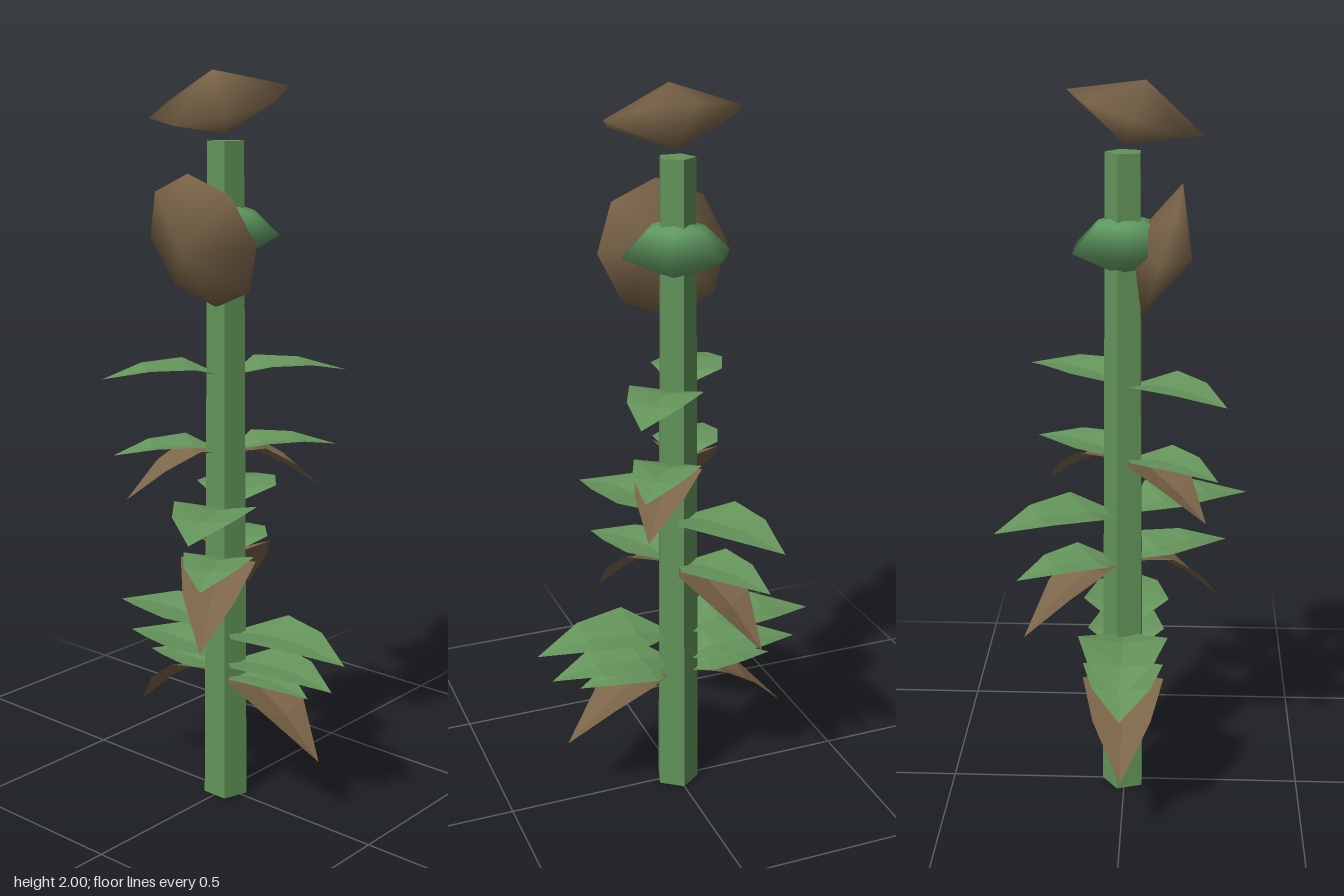
import * as THREE from 'three';

const mat = (name, color, side = THREE.FrontSide, flatShading = false) => {
  const m = new THREE.MeshStandardMaterial({ color, side, flatShading });
  m.name = name;
  return m;
};

// Folded leaf along +x: rows of [reach, height, half width, midrib dip], ending in a point
function leafGeometry(rows) {
  const pos = [], index = [];
  for (const [r, y, w, dip] of rows) pos.push(r, y, -w, r, y - dip, 0, r, y, w);
  for (let i = 0; i < rows.length - 1; i++) {
    for (let s = 0; s < 2; s++) {
      const a = i * 3 + s, b = a + 1, c = a + 3, d = a + 4;
      index.push(a, b, c, b, d, c);
    }
  }
  const g = new THREE.BufferGeometry();
  g.setAttribute('position', new THREE.Float32BufferAttribute(pos, 3));
  g.setIndex(index);
  const flat = g.toNonIndexed();
  flat.computeVertexNormals();
  return flat;
}

const freshLeaf = (L) => leafGeometry([
  [0.03, 0.005, 0.025, 0.005],
  [0.3 * L, 0.1 * L, 0.3 * L, 0.05 * L],
  [0.65 * L, 0.085 * L, 0.215 * L, 0.025 * L],
  [L, 0, 0, 0],
]);

const witheredLeaf = (L, drop) => leafGeometry([
  [0.03, -0.02, 0.025, 0.005],
  [0.32 * L, 0, 0.34 * L, 0.03],
  [0.65 * L, -0.38 * drop, 0.24 * L, 0.02],
  [L, -drop, 0, 0],
]);

export function createModel() {
  const group = new THREE.Group();
  const stemGreen = mat('stem green', 0x629459, THREE.FrontSide, true);
  const leafGreen = mat('leaf green', 0x66965c, THREE.DoubleSide, true);
  const budGreen = mat('bud green', 0x5f9860);
  const driedBrown = mat('dried brown', 0x7b6549, THREE.DoubleSide, true);
  const headBrown = mat('flower head brown', 0x7b6549);

  const add = (name, geometry, material, x = 0, y = 0, z = 0) => {
    const mesh = new THREE.Mesh(geometry, material);
    mesh.name = name;
    mesh.position.set(x, y, z);
    group.add(mesh);
    return mesh;
  };

  // Five-sided tapering stem, flat side to the front
  add('stem', new THREE.CylinderGeometry(0.05, 0.063, 1.82, 5, 1, false, Math.PI / 5), stemGreen, 0, 0.91, 0);

  // Opposite leaf pairs
  const addPair = (name, geometry, material, y, degrees) => {
    for (const turn of [0, Math.PI]) {
      add(name, geometry, material, 0, y, 0).rotation.y = THREE.MathUtils.degToRad(degrees) + turn;
    }
  };
  const fresh = [ // tip height, length, direction
    [0.355, 0.29, 0], [0.395, 0.37, 0], [0.48, 0.41, 0],
    [0.7, 0.325, -61], [0.84, 0.38, -63.5],
    [1.0, 0.31, 54], [1.207, 0.335, 53.5],
  ];
  for (const [y, L, a] of fresh) addPair('leaf', freshLeaf(L), leafGreen, y, a);

  const withered = [ // top height, length, drop, direction
    [0.385, 0.33, 0.2, 0], [0.72, 0.305, 0.195, -62], [1.02, 0.275, 0.145, 53.5],
  ];
  for (const [y, L, drop, a] of withered) addPair('witheredLeaf', witheredLeaf(L, drop), driedBrown, y, a);

  // Faceted dried flower heads, tilted towards the front
  const head = new THREE.SphereGeometry(0.183, 8, 2).scale(1, 0.46, 1);
  add('topFlowerHead', head, headBrown, 0, 1.917, 0.028).rotation.x = THREE.MathUtils.degToRad(18);
  add('frontFlowerHead', head, headBrown, 0, 1.567, 0.095).rotation.x = THREE.MathUtils.degToRad(107);

  // Six-sided bud around the stem
  const budProfile = [[0, -0.075], [0.15, 0], [0.08, 0.067], [0, 0.095]].map(([r, y]) => new THREE.Vector2(r, y));
  const bud = new THREE.LatheGeometry(budProfile, 6, Math.PI / 6);
  add('bud', bud, budGreen, 0, 1.573, 0);

  return group;
}
